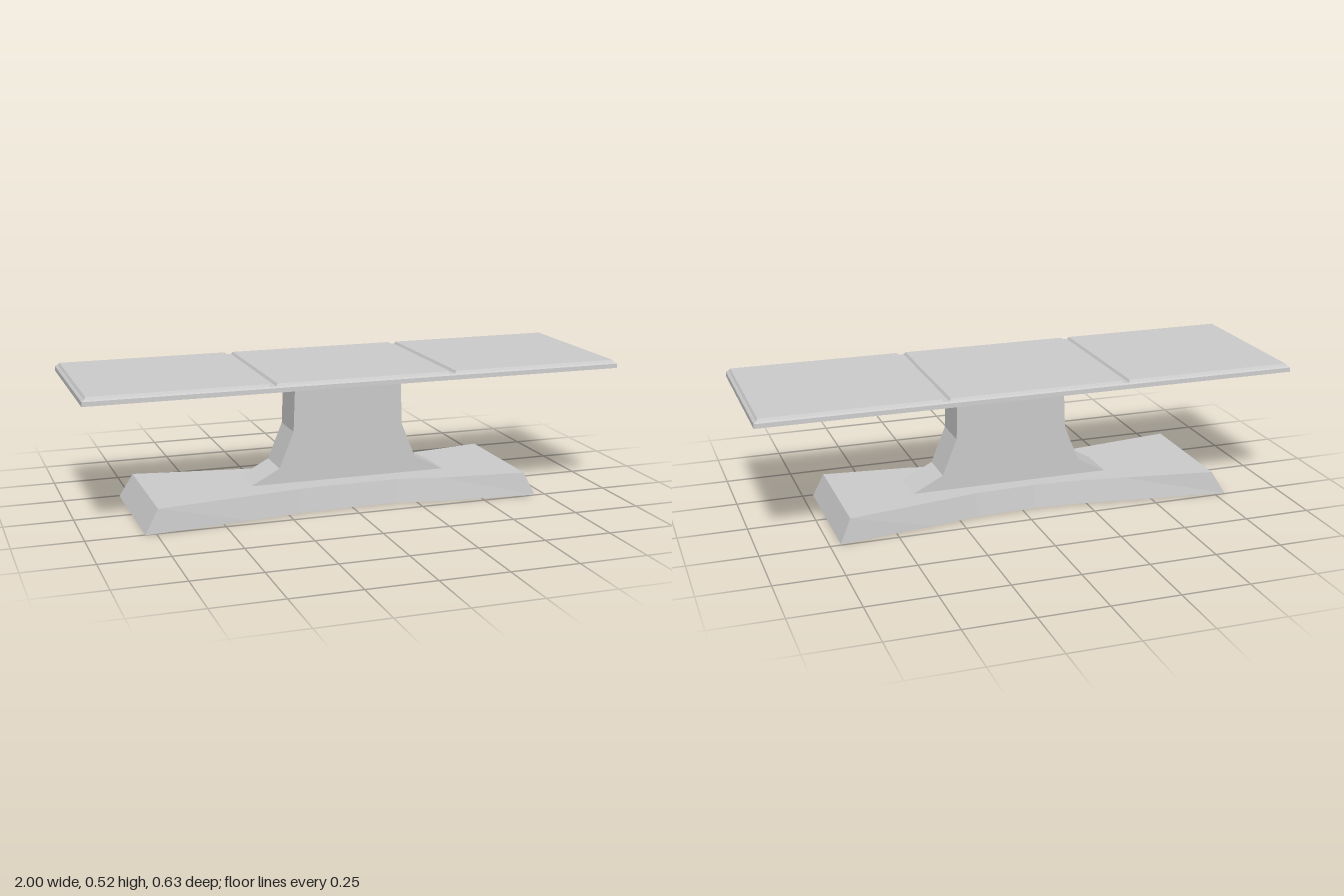
import * as THREE from 'three';

const grey = new THREE.MeshStandardMaterial({ color: 0xcccccc, flatShading: true });

function addMesh(parent, name, geometry) {
  const mesh = new THREE.Mesh(geometry, grey);
  mesh.name = name;
  parent.add(mesh);
  return mesh;
}

// Tapered slab lofted along x. Each section is [bottomX, topX, frontZ, backZ];
// the top edge is drawn in by inset.
function taperedSlab(sections, y0, y1, inset) {
  const rings = sections.map(([xb, xt, zf, zb]) => [
    [xb, y0, zf], [xb, y0, zb], [xt, y1, zb + inset], [xt, y1, zf - inset],
  ]);
  const pos = [];
  const quad = (a, b, c, d) => pos.push(...a, ...b, ...c, ...a, ...c, ...d);
  for (let i = 0; i < rings.length - 1; i++) {
    const p = rings[i], q = rings[i + 1];
    for (let k = 0; k < 4; k++) {
      const n = (k + 1) % 4;
      quad(p[k], p[n], q[n], q[k]);
    }
  }
  const [a, b, c, d] = rings[0];
  quad(d, c, b, a);
  quad(...rings[rings.length - 1]);
  const geometry = new THREE.BufferGeometry();
  geometry.setAttribute('position', new THREE.Float32BufferAttribute(pos, 3));
  geometry.computeVertexNormals();
  return geometry;
}

// Rectangular slab with bevelled sides
const bevelSlab = (x0, x1, z, y0, y1, inset) => taperedSlab(
  [[x0, x0 + inset, z, -z], [x1, x1 - inset, z, -z]], y0, y1, inset);

export function createModel() {
  const table = new THREE.Group();
  table.name = 'operatingTable';

  // Heavy foot, pinched at the waist
  addMesh(table, 'base', taperedSlab([
    [-0.79, -0.74, 0.255, -0.245],
    [-0.40, -0.40, 0.21, -0.19],
    [-0.20, -0.20, 0.183, -0.16],
    [-0.05, -0.05, 0.175, -0.15],
    [0.18, 0.18, 0.175, -0.16],
    [0.35, 0.35, 0.21, -0.19],
    [0.71, 0.67, 0.246, -0.243],
  ], 0, 0.087, 0.016));

  // Pedestal with a flared foot
  const profile = new THREE.Shape([
    [-0.36, 0.086], [0.40, 0.086], [0.285, 0.145], [0.23, 0.28],
    [0.225, 0.48], [-0.187, 0.48], [-0.195, 0.28], [-0.25, 0.145],
  ].map(([x, y]) => new THREE.Vector2(x, y)));
  const pedestal = new THREE.ExtrudeGeometry(profile, { depth: 0.152, bevelEnabled: false });
  pedestal.translate(0, 0, -0.076);
  addMesh(table, 'pedestal', pedestal);

  // Top plate with a bevelled upper rim
  addMesh(table, 'topPlate', bevelSlab(-1, 1, 0.316, 0.487, 0.503, 0.001));
  addMesh(table, 'topPlateRim', bevelSlab(-0.999, 0.999, 0.315, 0.503, 0.508, 0.006));

  // Three cushions divided by narrow grooves
  [[-0.99, -0.348], [-0.327, 0.323], [0.344, 0.99]].forEach(([x0, x1], i) => {
    const name = ['rightCushion', 'middleCushion', 'leftCushion'][i];
    addMesh(table, name, bevelSlab(x0, x1, 0.309, 0.508, 0.517, 0.006));
  });

  return table;
}
